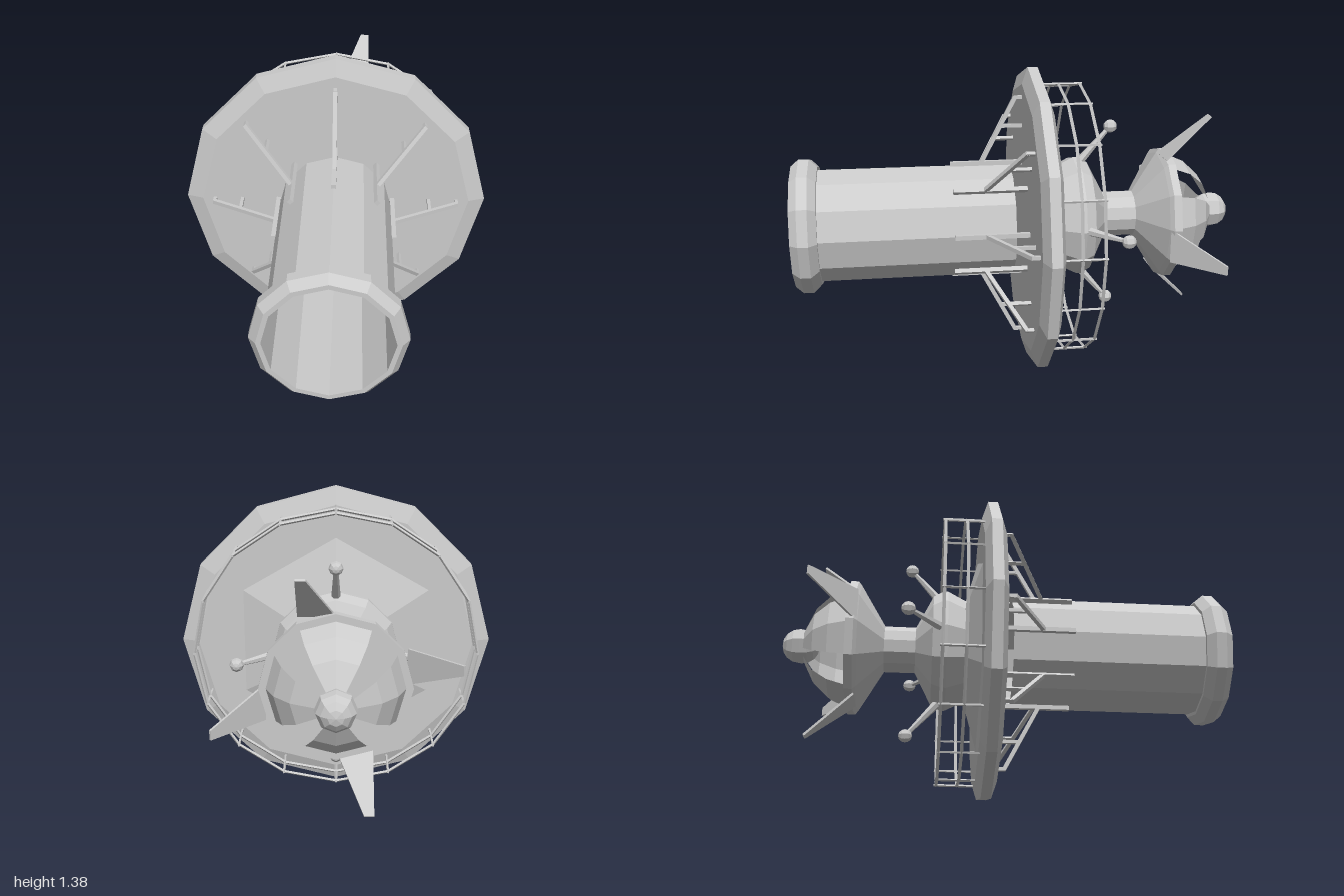
import * as THREE from 'three';

const material = new THREE.MeshStandardMaterial({ color: 0xcccccc, flatShading: true, side: THREE.DoubleSide });

function add(parent, name, geometry) {
  const mesh = new THREE.Mesh(geometry, material);
  mesh.name = name;
  parent.add(mesh);
  return mesh;
}

// Faceted solid of revolution; profile is a list of [radius, height]
function turned(parent, name, profile, sides = 12, start = 0, sweep = Math.PI * 2) {
  const points = profile.map(([r, h]) => new THREE.Vector2(r, h));
  return add(parent, name, new THREE.LatheGeometry(points, sides, start, sweep));
}

// Bar between two points [radius, height] in the local xy plane
function bar(parent, name, a, b, geometryFor) {
  const dx = b[0] - a[0], dy = b[1] - a[1];
  const mesh = add(parent, name, geometryFor(Math.hypot(dx, dy)));
  mesh.position.set((a[0] + b[0]) / 2, (a[1] + b[1]) / 2, 0);
  mesh.rotation.z = Math.atan2(dy, dx) - Math.PI / 2;
  return mesh;
}

// Repeats a part around the tower axis
function around(parent, name, count, build) {
  for (let i = 0; i < count; i++) {
    const group = new THREE.Group();
    group.name = name;
    group.rotation.y = (i / count) * Math.PI * 2;
    build(group);
    parent.add(group);
  }
}

export function createModel() {
  const model = new THREE.Group();
  model.name = 'tower';

  // The tower is built upright, then laid down with its top towards the back
  const tower = new THREE.Group();
  tower.name = 'towerBody';
  tower.rotation.x = -Math.PI / 2;
  tower.position.y = 0.69;
  model.add(tower);

  // Hollow column with a collar at its open foot
  turned(tower, 'column', [[0.255, -1], [0.255, -0.03]]);
  turned(tower, 'footCollar', [[0.255, -1], [0.275, -1], [0.305, -0.965], [0.305, -0.92], [0.27, -0.885], [0.255, -0.885]]);

  // Deck with bevelled rim, and the low six-sided ramp on it
  turned(tower, 'deck', [[0, 0.025], [0.615, 0.025], [0.69, 0.05], [0.69, 0.095], [0.615, 0.12], [0, 0.12]]);
  turned(tower, 'deckRamp', [[0.48, 0.118], [0.22, 0.187]], 6);

  // Hub, neck and flared head
  turned(tower, 'hub', [[0.235, 0.12], [0.235, 0.18], [0.275, 0.26], [0.275, 0.28], [0.25, 0.325], [0.105, 0.4]]);
  turned(tower, 'neck', [[0.105, 0.395], [0.105, 0.545]]);
  turned(tower, 'head', [[0.105, 0.54], [0.285, 0.65], [0.305, 0.665], [0.305, 0.7], [0, 0.7]]);

  // Dome of four curved panels with open gaps between
  for (let i = 0; i < 4; i++) {
    turned(tower, 'domePanel', [[0.275, 0.7], [0.24, 0.78], [0.175, 0.85], [0.065, 0.905]],
      2, i * Math.PI / 2 - Math.PI / 6, Math.PI / 3);
  }
  add(tower, 'domeBall', new THREE.SphereGeometry(0.083, 8, 8)).position.y = 0.917;

  // Four slanted blades on the head rim
  const bladeShape = new THREE.Shape([[0, 0], [0.15, 0], [0.15, 0.275], [0.11, 0.275]]
    .map(([x, y]) => new THREE.Vector2(x, y)));
  const bladeGeometry = new THREE.ExtrudeGeometry(bladeShape, { depth: 0.01, bevelEnabled: false });
  around(tower, 'headBlade', 4, (group) => {
    const blade = add(group, 'blade', bladeGeometry);
    blade.position.set(0, 0.66, 0.28);
    blade.rotation.x = Math.PI / 4;
  });

  // Four antennas with ball tips on the hub
  around(tower, 'antenna', 4, (group) => {
    bar(group, 'antennaRod', [0.23, 0.27], [0.415, 0.43], (l) => new THREE.CylinderGeometry(0.009, 0.022, l, 6));
    add(group, 'antennaBall', new THREE.SphereGeometry(0.031, 8, 6)).position.set(0.415, 0.43, 0);
  });

  // Railing: two hoops on sixteen posts
  for (const height of [0.19, 0.285]) {
    const hoop = add(tower, 'railHoop', new THREE.TorusGeometry(0.612, 0.007, 4, 16));
    hoop.rotation.x = Math.PI / 2;
    hoop.position.y = height;
  }
  around(tower, 'railPost', 16, (group) => {
    bar(group, 'post', [0.612, 0.11], [0.612, 0.295], (l) => new THREE.CylinderGeometry(0.006, 0.006, l, 4));
  });

  // Eight brackets bracing the deck against the column
  const beam = (w) => (l) => new THREE.BoxGeometry(w, l, w);
  around(tower, 'bracket', 8, (group) => {
    bar(group, 'wallBeam', [0.262, -0.3], [0.262, 0.03], beam(0.02));
    bar(group, 'diagonalBrace', [0.265, -0.16], [0.56, -0.005], beam(0.018));
    bar(group, 'outerStay', [0.557, -0.01], [0.557, 0.03], beam(0.015));
    bar(group, 'innerStay', [0.43, -0.075], [0.43, 0.03], beam(0.015));
  });

  return model;
}
